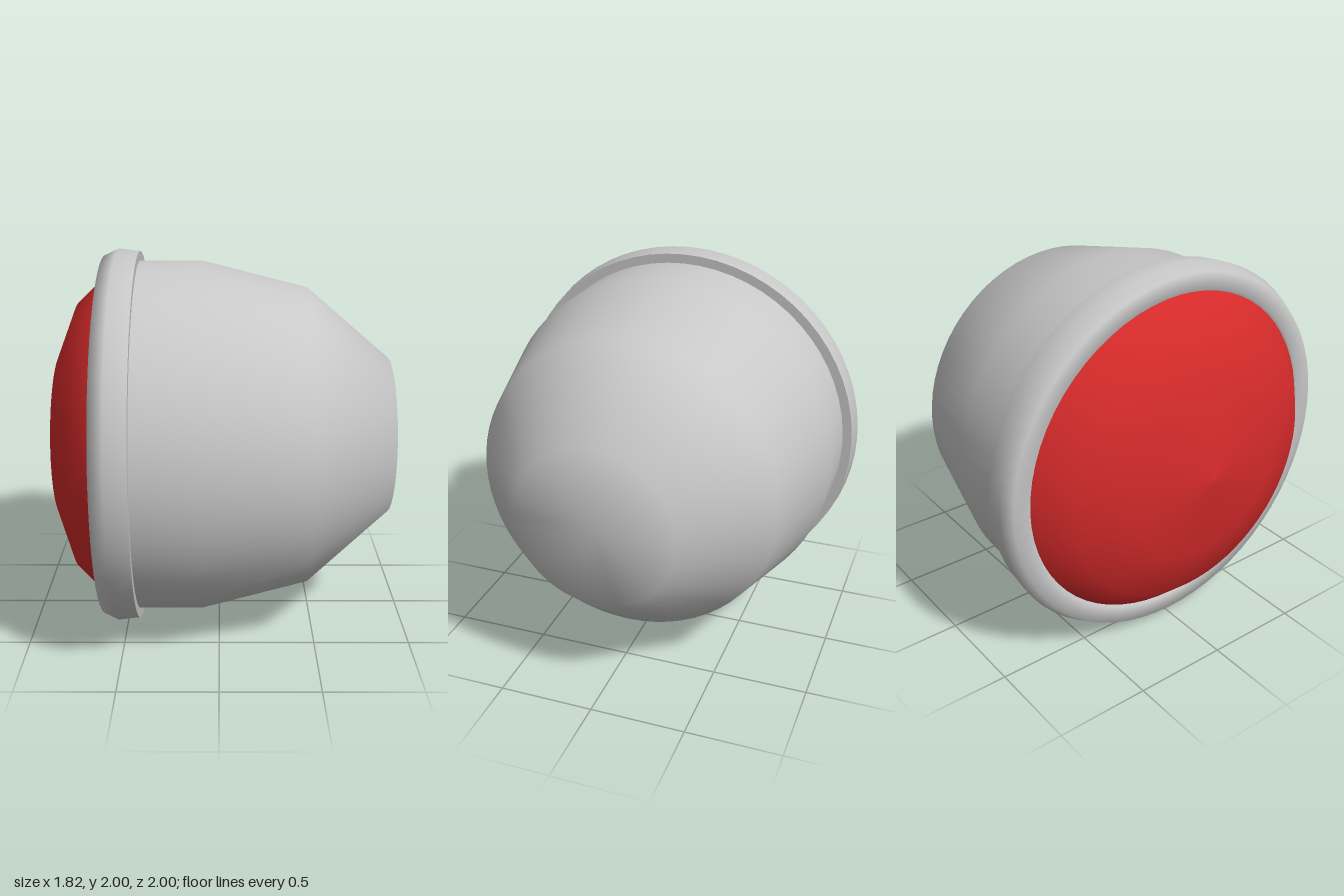
import * as THREE from 'three';

// Lathe around the x axis, profile given as [x, radius] from -x to +x
function turned(name, profile, material) {
  const points = profile.map(([x, r]) => new THREE.Vector2(r, x));
  const geometry = new THREE.LatheGeometry(points, 64);
  geometry.rotateZ(-Math.PI / 2);
  const mesh = new THREE.Mesh(geometry, material);
  mesh.name = name;
  mesh.position.y = 1;
  return mesh;
}

export function createModel() {
  const grey = new THREE.MeshStandardMaterial({ color: 0xc8c8c8 });
  grey.name = 'grey housing';
  const red = new THREE.MeshStandardMaterial({ color: 0xd42a2a });
  red.name = 'red lens';

  const model = new THREE.Group();
  model.name = 'lamp';

  // Tapering housing with a closed flat end
  model.add(turned('housing', [
    [-0.5, 0.937], [-0.09, 0.937], [0.465, 0.797], [0.905, 0.422], [0.905, 0],
  ], grey));

  // Rim around the lens, with a small inner lip
  model.add(turned('rim', [
    [-0.56, 0.85], [-0.605, 0.875], [-0.605, 0.965], [-0.53, 1], [-0.42, 0.987],
  ], grey));

  // Flat back of the rim, separate to keep its edge sharp
  model.add(turned('rimBack', [[-0.42, 0.987], [-0.42, 0.92]], grey));

  // Domed lens
  model.add(turned('lens', [
    [-0.91, 0], [-0.855, 0.44], [-0.745, 0.72], [-0.605, 0.857], [-0.56, 0.885],
  ], red));

  return model;
}
